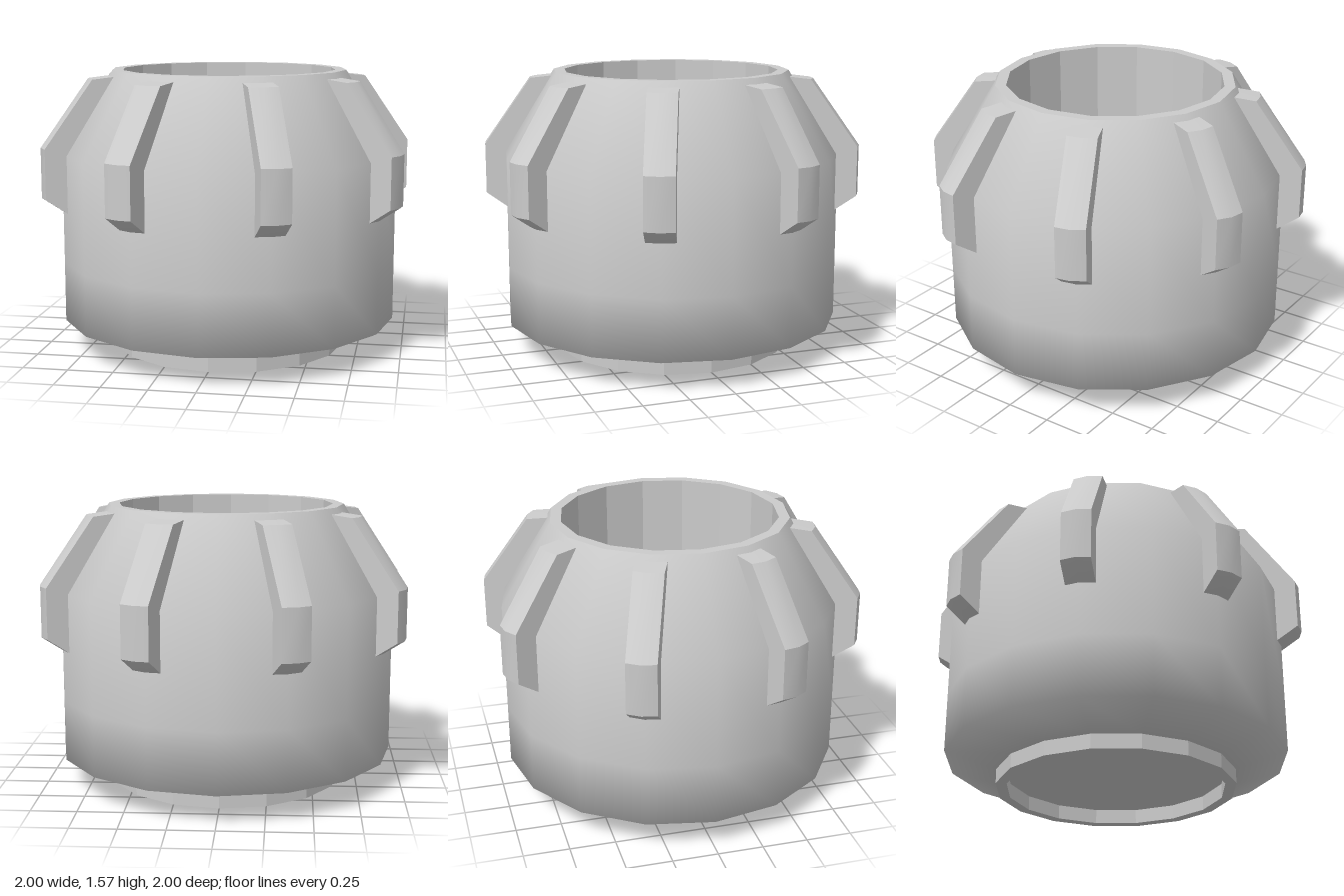
import * as THREE from 'three';
import { toCreasedNormals } from 'three/addons/utils/BufferGeometryUtils.js';

const SIDES = 16;
const FINS = 8;

const smooth = new THREE.MeshStandardMaterial({ color: 0xcccccc });
const flat = new THREE.MeshStandardMaterial({ color: 0xcccccc, flatShading: true });

const toPoints = (list) => list.map(([x, y]) => new THREE.Vector2(x, y));

function lathe(name, profile, material) {
  const mesh = new THREE.Mesh(new THREE.LatheGeometry(toPoints(profile), SIDES), material);
  mesh.name = name;
  return mesh;
}

// Bent rib whose faces follow the corner of the 16-sided body
function finGeometry() {
  const width = 0.16;
  const shape = new THREE.Shape(toPoints([
    [0.92, 0.785], [0.945, 0.79], [1.063, 0.87], [1.063, 1.15],
    [0.797, 1.525], [0.665, 1.54], [0.645, 1.53], [0.92, 1.11],
  ]));
  const geo = new THREE.ExtrudeGeometry(shape, { depth: width, steps: 2, bevelEnabled: false });
  geo.translate(0, 0, -width / 2);
  const pos = geo.attributes.position;
  const slope = Math.tan(Math.PI / SIDES);
  for (let i = 0; i < pos.count; i++) {
    pos.setX(i, pos.getX(i) - Math.abs(pos.getZ(i)) * slope);
  }
  return toCreasedNormals(geo, 0.45);
}

export function createModel() {
  const model = new THREE.Group();
  model.name = 'ribbedCup';

  // Smooth outer shell
  model.add(lathe('body', [
    [0.66, 0.08], [0.945, 0.165], [0.945, 0.5], [0.945, 1.11], [0.66, 1.57],
  ], smooth));

  // Rim, inner wall and floor of the opening
  model.add(lathe('rimAndCavity', [
    [0.66, 1.57], [0.6, 1.57], [0.6, 0.1], [0, 0.1],
  ], flat));

  // Foot ring with a recessed underside
  model.add(lathe('footRing', [
    [0, 0.08], [0.6, 0.08], [0.6, 0], [0.66, 0], [0.66, 0.08],
  ], flat));

  // Ribs around the shoulder
  const fin = finGeometry();
  for (let i = 0; i < FINS; i++) {
    const mesh = new THREE.Mesh(fin, smooth);
    mesh.name = `rib${i + 1}`;
    mesh.rotation.y = ((i + 0.5) / FINS) * Math.PI * 2;
    model.add(mesh);
  }
  return model;
}
